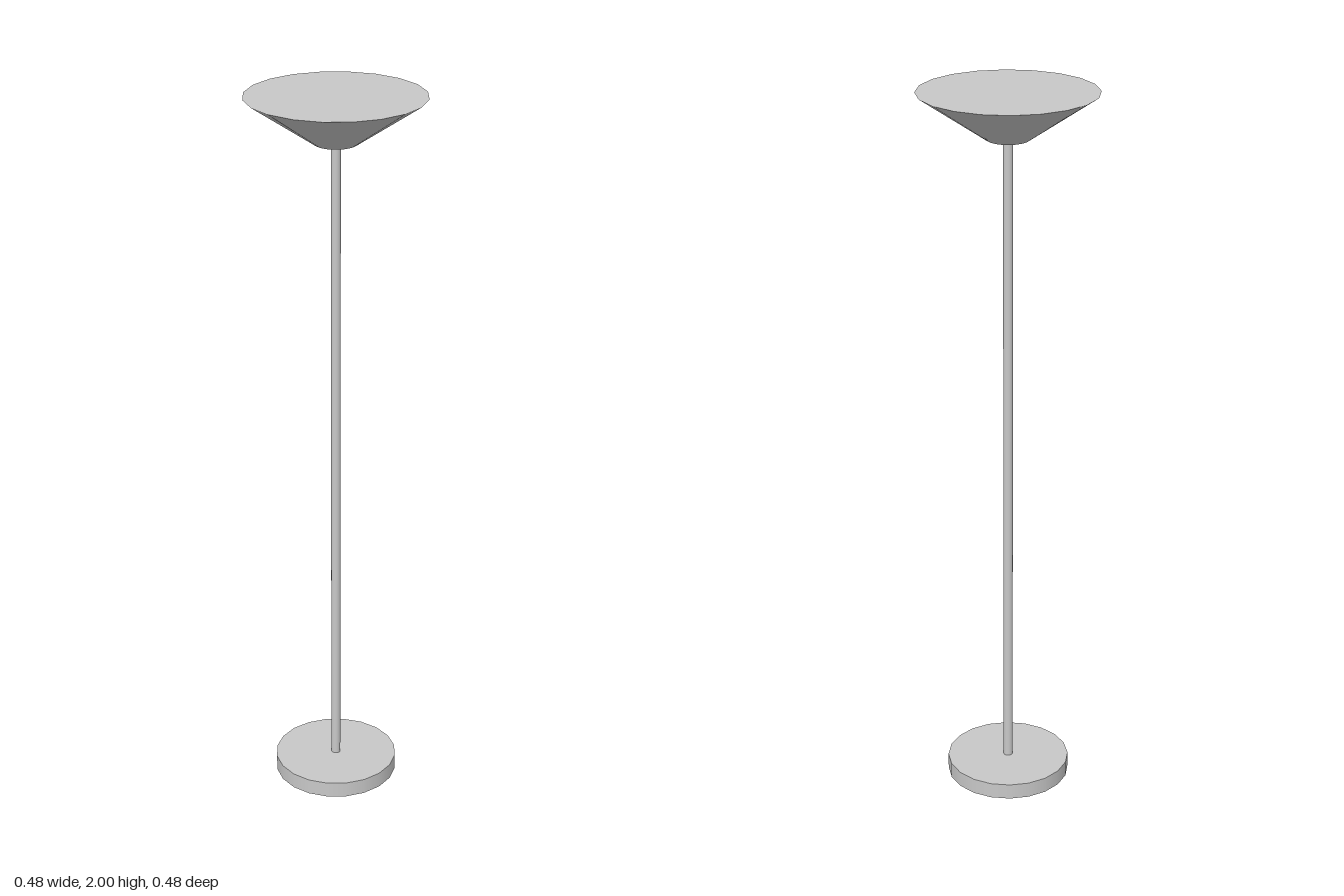
import * as THREE from 'three';

export function createModel() {
  const lamp = new THREE.Group();
  lamp.name = 'floorLamp';

  const metal = new THREE.MeshStandardMaterial({ color: 0xc8c8c8 });
  metal.name = 'light grey metal';

  // Round part standing between two heights
  const addRound = (name, topRadius, bottomRadius, y0, y1) => {
    const geometry = new THREE.CylinderGeometry(topRadius, bottomRadius, y1 - y0, 20);
    const mesh = new THREE.Mesh(geometry, metal);
    mesh.name = name;
    mesh.position.y = (y0 + y1) / 2;
    lamp.add(mesh);
  };

  addRound('base', 0.173, 0.173, 0, 0.045);
  addRound('pole', 0.013, 0.013, 0.045, 1.876);
  // Flared uplight shade with a flat closed top
  addRound('shade', 0.239, 0.057, 1.876, 2);

  return lamp;
}
